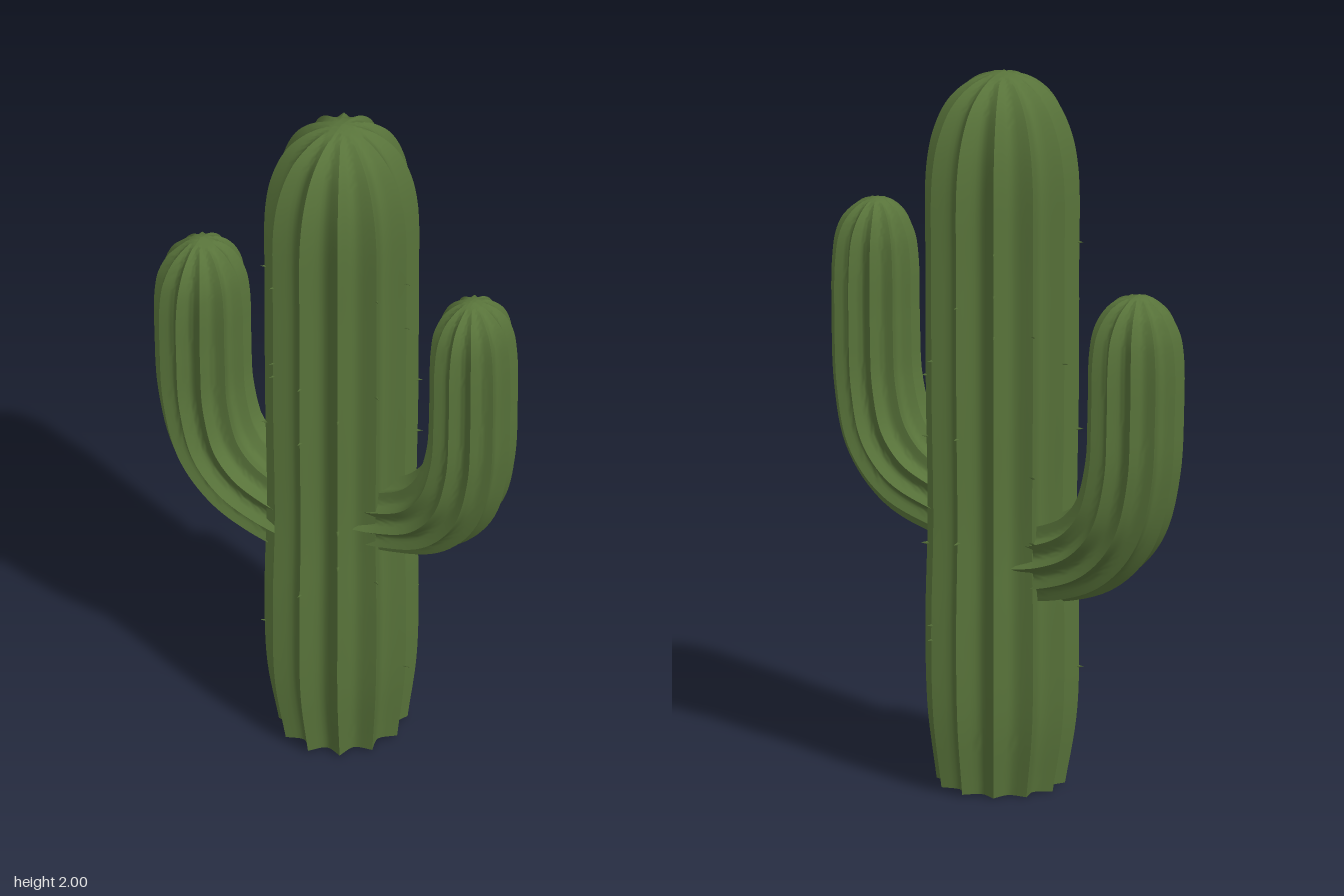
import * as THREE from 'three';
import { toCreasedNormals } from 'three/addons/utils/BufferGeometryUtils.js';

const SEG = 8; // segments per rib

// Ribbed tube in the xy plane; each control point is [x, y, radius].
function ribbedTube(points, ribs, depth, zScale, zShift, steps = 72) {
  const curve = new THREE.CatmullRomCurve3(points.map((p) => new THREE.Vector3(...p)));
  const around = ribs * SEG;
  const pos = [];
  const index = [];
  for (let i = -1; i <= steps; i++) {
    const t = Math.max(i, 0) / steps;
    const p = curve.getPoint(t);
    const d = curve.getTangent(t);
    const len = Math.hypot(d.x, d.y) || 1;
    // the extra first ring closes the base
    const radius = i < 0 || i === steps ? 0 : Math.max(p.z, 0);
    for (let j = 0; j < around; j++) {
      const a = (j / around) * Math.PI * 2;
      // sharp ridges, rounded valleys
      const r = radius * (1 - depth * Math.abs(Math.sin((a * ribs) / 2)));
      const c = Math.cos(a) * r;
      pos.push(p.x + (c * d.y) / len, p.y - (c * d.x) / len, zShift + Math.sin(a) * r * zScale);
    }
  }
  for (let i = 0; i <= steps; i++) {
    for (let j = 0; j < around; j++) {
      const k = (j + 1) % around;
      const a = i * around + j, b = i * around + k;
      const c = a + around, d = b + around;
      if (i > 0) index.push(a, c, b);
      if (i < steps) index.push(b, c, d);
    }
  }
  const g = new THREE.BufferGeometry();
  g.setAttribute('position', new THREE.Float32BufferAttribute(pos, 3));
  g.setIndex(index);
  return toCreasedNormals(g, 0.9);
}

export function createModel() {
  const model = new THREE.Group();
  model.name = 'cactus';
  const green = new THREE.MeshStandardMaterial({ color: 0x58733a });
  green.name = 'cactus green';

  const add = (name, geometry) => {
    const mesh = new THREE.Mesh(geometry, green);
    mesh.name = name;
    model.add(mesh);
    return mesh;
  };

  // Trunk with a domed top
  add('trunk', ribbedTube([
    [0.015, 0, 0.172], [0.01, 0.2, 0.2], [0.01, 0.45, 0.206], [0.01, 0.75, 0.2],
    [0.01, 1.1, 0.205], [0.01, 1.45, 0.206], [0.01, 1.73, 0.204], [0.01, 1.84, 0.183],
    [0.01, 1.92, 0.145], [0.01, 1.97, 0.092], [0.01, 1.993, 0.04], [0.01, 2, 0],
  ], 12, 0.19, 1.06, 0));

  // Arms curving up from the trunk
  add('rightArm', ribbedTube([
    [-0.06, 0.635, 0.115], [-0.19, 0.66, 0.12], [-0.3, 0.71, 0.125], [-0.38, 0.8, 0.128],
    [-0.423, 0.95, 0.128], [-0.433, 1.12, 0.129], [-0.435, 1.27, 0.127], [-0.435, 1.34, 0.115],
    [-0.437, 1.395, 0.086], [-0.44, 1.43, 0.043], [-0.44, 1.443, 0],
  ], 12, 0.19, 1.07, 0));
  add('leftArm', ribbedTube([
    [0.06, 0.745, 0.105], [0.19, 0.77, 0.108], [0.31, 0.825, 0.118], [0.39, 0.92, 0.122],
    [0.428, 1.06, 0.118], [0.437, 1.24, 0.117], [0.438, 1.4, 0.115], [0.438, 1.48, 0.104],
    [0.436, 1.53, 0.08], [0.435, 1.565, 0.04], [0.435, 1.577, 0],
  ], 12, 0.19, 1.1, 0.01));

  // Sparse short thorns along the trunk ridges
  let seed = 7;
  const random = () => (seed = (seed * 16807) % 2147483647) / 2147483647;
  const thorn = new THREE.ConeGeometry(0.007, 0.028, 4);
  thorn.rotateZ(-Math.PI / 2);
  for (let i = 0; i < 36; i++) {
    const a = ((i % 12) / 12) * Math.PI * 2;
    const m = add('thorn', thorn);
    m.position.set(0.01 + Math.cos(a) * 0.205, 0.25 + random() * 1.4, Math.sin(a) * 0.216);
    m.rotation.y = -a;
  }
  return model;
}
